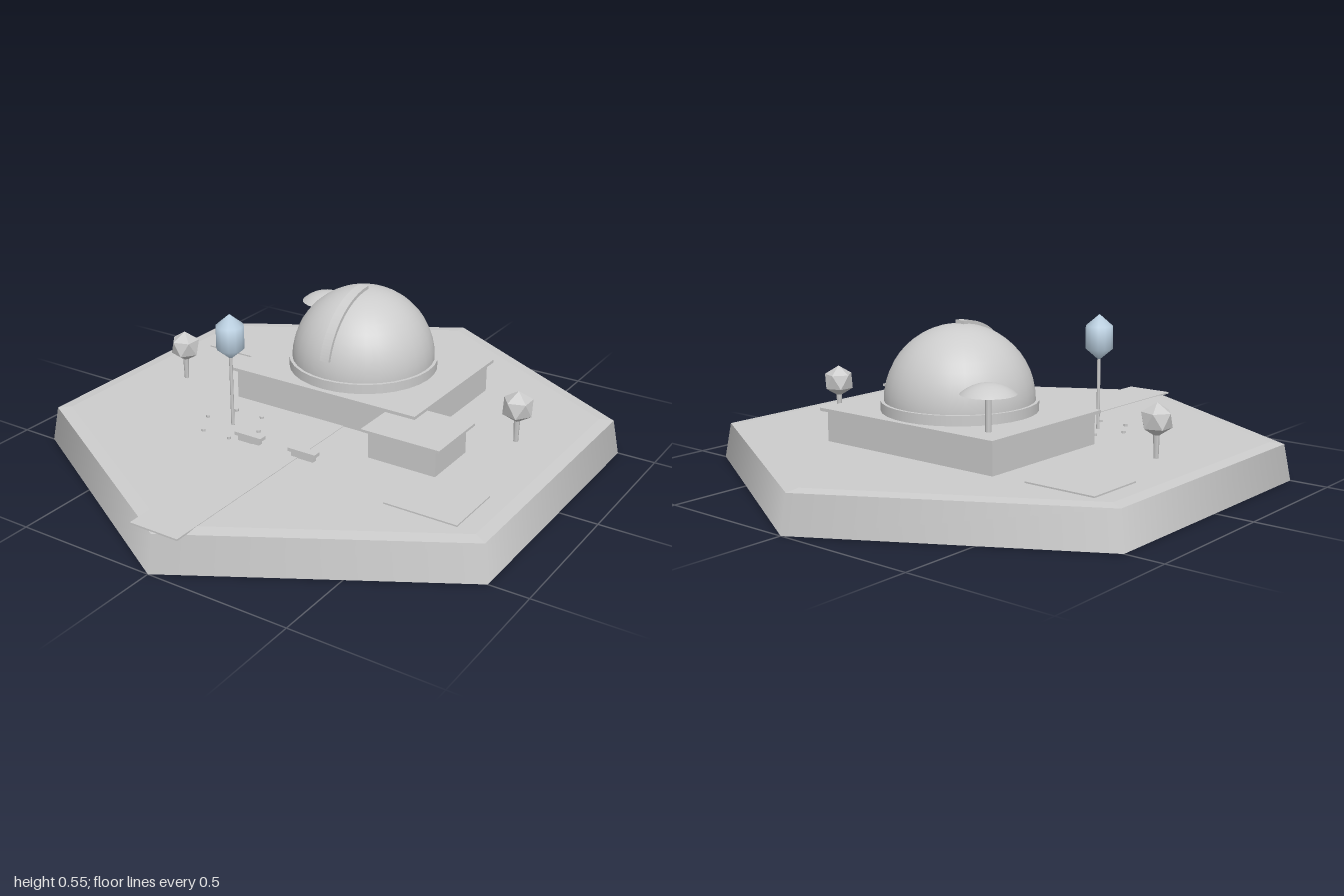
import * as THREE from 'three';

export function createModel() {
  const model = new THREE.Group();
  const stone = new THREE.MeshStandardMaterial({ color: 0xcccccc });
  stone.name = 'pale grey';
  const facet = new THREE.MeshStandardMaterial({ color: 0xcccccc, flatShading: true, side: THREE.DoubleSide });
  facet.name = 'pale grey faceted';
  const glow = new THREE.MeshStandardMaterial({ color: 0xc6dcee });
  glow.name = 'pale blue';

  const add = (name, geometry, x, y, z, material = stone, parent = model) => {
    const mesh = new THREE.Mesh(geometry, material);
    mesh.name = name;
    mesh.position.set(x, y, z);
    parent.add(mesh);
    return mesh;
  };
  // Box given by its x, y and z ranges
  const block = (name, x0, x1, y0, y1, z0, z1, parent = model) =>
    add(name, new THREE.BoxGeometry(x1 - x0, y1 - y0, z1 - z0),
      (x0 + x1) / 2, (y0 + y1) / 2, (z0 + z1) / 2, stone, parent);

  // Hexagonal base with a low bevelled rim around the deck
  const deckY = 0.125;
  add('base', new THREE.CylinderGeometry(0.975, 1, deckY, 6), 0, deckY / 2, 0);
  add('rim', new THREE.CylinderGeometry(0.925, 0.975, 0.005, 6, 1, true), 0, deckY + 0.0025, 0, facet);
  add('deck', new THREE.CylinderGeometry(0.925, 0.925, 0.004, 6), 0, deckY + 0.002, 0);

  // Path and paved pads
  block('path', -0.09, 0.09, 0.125, 0.131, 0.07, 0.965);
  block('backPad', -0.735, -0.48, 0.125, 0.134, -0.46, -0.245);
  block('frontPad', 0.48, 0.735, 0.125, 0.134, 0.24, 0.455);

  // Main hall and annex with overhanging roofs
  block('hall', -0.36, 0.36, 0.125, 0.235, -0.465, 0.07);
  block('hallRoof', -0.375, 0.375, 0.235, 0.246, -0.485, 0.085);
  block('annex', 0.28, 0.53, 0.125, 0.224, 0.015, 0.22);
  block('annexRoof', 0.26, 0.55, 0.224, 0.233, -0.005, 0.235);

  // Dome on its drum
  add('domeDrum', new THREE.CylinderGeometry(0.265, 0.265, 0.034, 32), 0, 0.263, -0.2);
  add('dome', new THREE.SphereGeometry(0.254, 32, 12, 0, Math.PI * 2, 0, Math.PI / 2), 0, 0.28, -0.2);

  // Raised curved shutter running from the crown down the front
  const arc = new THREE.Shape();
  const low = 0.24;
  arc.absarc(0, 0, 0.263, low, Math.PI / 2, false);
  arc.absarc(0, 0, 0.245, Math.PI / 2, low, true);
  const shutterGeo = new THREE.ExtrudeGeometry(arc, { depth: 0.036, bevelEnabled: false, curveSegments: 16 });
  shutterGeo.translate(0, 0, -0.018);
  add('domeShutter', shutterGeo, 0, 0.282, -0.2).rotation.y = -Math.PI / 2;

  // Shallow dish on a post
  add('dishPost', new THREE.CylinderGeometry(0.01, 0.01, 0.145, 8), -0.29, 0.315, -0.4);
  const dish = new THREE.SphereGeometry(0.133, 24, 5, 0, Math.PI * 2, 0, 0.743);
  const shell = new THREE.MeshStandardMaterial({ color: 0xcccccc, side: THREE.DoubleSide });
  shell.name = 'pale grey shell';
  add('dish', dish, -0.29, 0.268, -0.4, shell);

  // Lamp with an elongated head, ringed by small studs
  const lampX = -0.237, lampZ = 0.265;
  add('lampPost', new THREE.CylinderGeometry(0.006, 0.006, 0.26, 8), lampX, 0.255, lampZ);
  add('lampHead', new THREE.SphereGeometry(0.055, 12, 3), lampX, 0.455, lampZ, glow).scale.y = 1.47;
  for (let i = 0; i < 6; i++) {
    const a = i * Math.PI / 3;
    add('stud', new THREE.CylinderGeometry(0.007, 0.007, 0.013, 8),
      lampX + 0.108 * Math.cos(a), 0.131, lampZ + 0.108 * Math.sin(a));
  }

  // Benches either side of the path
  for (const side of [-1, 1]) {
    const bench = new THREE.Group();
    bench.name = 'bench';
    bench.position.x = side * 0.108;
    block('benchBase', -0.043, 0.043, 0.125, 0.148, 0.331, 0.35, bench);
    block('benchSeat', -0.053, 0.053, 0.148, 0.16, 0.325, 0.355, bench);
    model.add(bench);
  }

  // Faceted trees
  for (const [x, z] of [[-0.622, 0.04], [0.632, -0.152]]) {
    const tree = new THREE.Group();
    tree.name = 'tree';
    tree.position.set(x, 0, z);
    add('trunk', new THREE.CylinderGeometry(0.011, 0.008, 0.1, 6), 0, 0.172, 0, stone, tree);
    const crown = add('crown', new THREE.IcosahedronGeometry(0.057, 0), 0, 0.256, 0, facet, tree);
    crown.rotation.z = Math.atan(2 / (1 + Math.sqrt(5)));
    model.add(tree);
  }

  return model;
}
